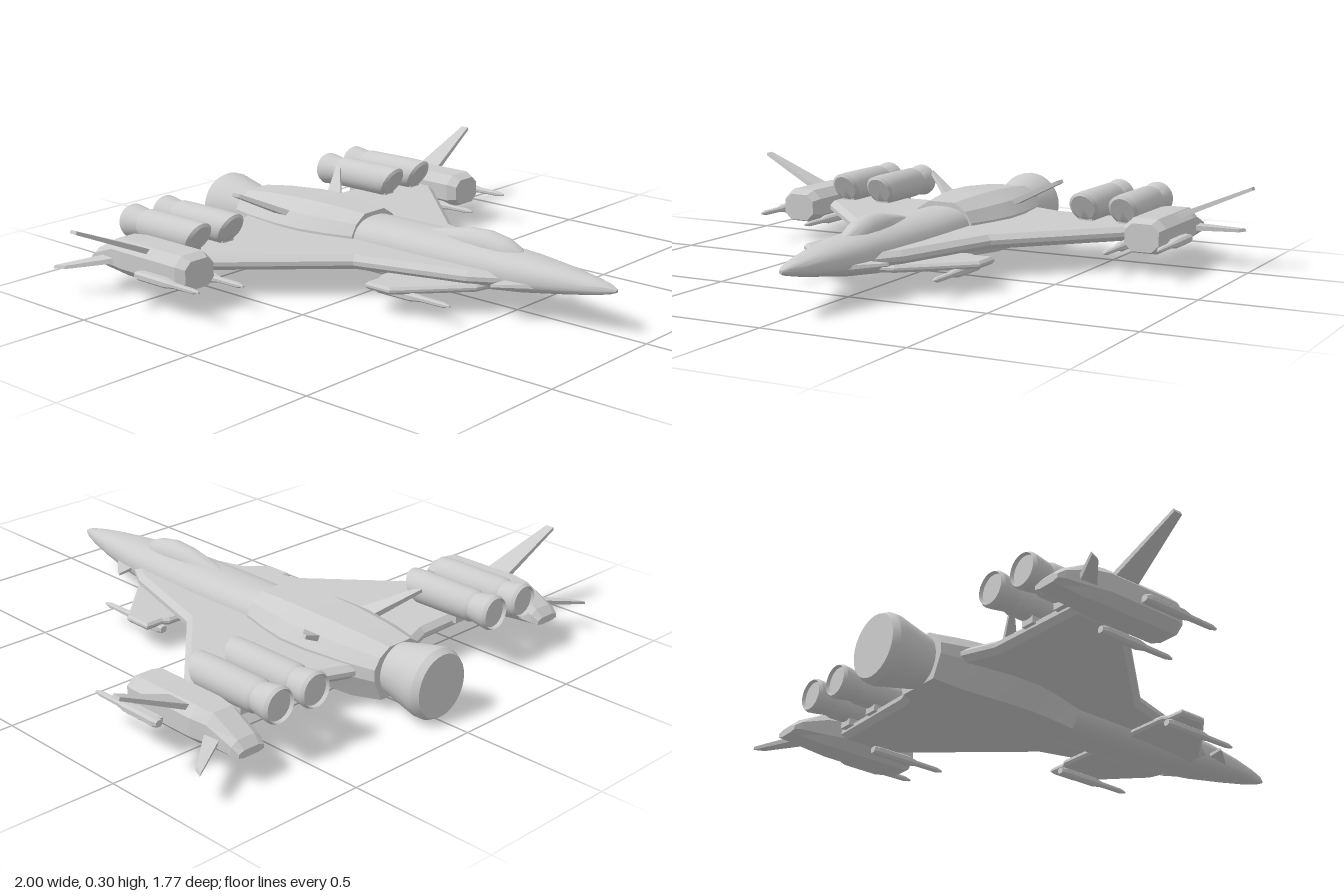
import * as THREE from 'three';
import { toCreasedNormals } from 'three/addons/utils/BufferGeometryUtils.js';
import { ConvexGeometry } from 'three/addons/geometries/ConvexGeometry.js';

const smooth = new THREE.MeshStandardMaterial({ color: 0xcccccc });
const flat = new THREE.MeshStandardMaterial({ color: 0xcccccc, flatShading: true });

function add(group, name, geometry, material = flat) {
  const mesh = new THREE.Mesh(geometry, material);
  mesh.name = name;
  group.add(mesh);
  return mesh;
}

// Unit cross-sections, counter-clockwise seen from the front
const oval = (n, power = 1) => Array.from({ length: n }, (_, i) => {
  const a = (i / n) * Math.PI * 2, c = Math.cos(a), s = Math.sin(a);
  return [Math.sign(c) * Math.abs(c) ** power, Math.sign(s) * Math.abs(s) ** power];
});
const octagon = (x, y) => [[1, -y], [1, y], [x, 1], [-x, 1], [-1, y], [-1, -y], [-x, -1], [x, -1]];

// Skin over sections [z, half width, bottom, waist, top], ordered from back to front
function loft(ring, sections, cx = 0, crease = 0.5) {
  const n = ring.length, pos = [], index = [];
  for (const [z, w, bottom, waist, top] of sections)
    for (const [u, v] of ring)
      pos.push(cx + u * w, waist + v * (v > 0 ? top - waist : waist - bottom), z);
  const last = (sections.length - 1) * n, back = sections.length * n;
  for (const s of [sections[0], sections[sections.length - 1]]) pos.push(cx, (s[2] + s[4]) / 2, s[0]);
  for (let j = 0; j < n; j++) {
    const k = (j + 1) % n;
    for (let i = 0; i < last; i += n) index.push(i + j, i + k, i + n + j, i + k, i + n + k, i + n + j);
    index.push(back, k, j, back + 1, last + j, last + k);
  }
  const geo = new THREE.BufferGeometry();
  geo.setAttribute('position', new THREE.Float32BufferAttribute(pos, 3));
  geo.setIndex(index);
  return toCreasedNormals(geo, crease);
}

// Bevelled horizontal plate from an (x, z) outline
function plate(outline, side, y0, y1, bevel) {
  const shape = new THREE.Shape(outline.map(([x, z]) => new THREE.Vector2(x * side, z)));
  const t = (y1 - y0) * 0.35;
  const geo = new THREE.ExtrudeGeometry(shape, {
    depth: y1 - y0 - 2 * t, bevelThickness: t, bevelSize: bevel, bevelOffset: -bevel, bevelSegments: 1,
  });
  return geo.rotateX(Math.PI / 2).translate(0, y1 - t, 0);
}

// Thin fin through four corners, thinner towards the tip (the last two)
function fin(corners, side, thick) {
  const pts = [];
  corners.forEach(([x, y, z], i) => {
    const t = thick * (i < 2 ? 0.5 : 0.3);
    for (const d of [-t, t]) pts.push(new THREE.Vector3(side * (x - d * 0.4), y + d, z));
  });
  return new ConvexGeometry(pts);
}

// Turned body along z from [radius, z] pairs
function turned(profile) {
  const pts = profile.map(([r, z]) => new THREE.Vector2(r, z));
  return new THREE.LatheGeometry(pts, 28).rotateX(Math.PI / 2);
}

// Engine with a slanted, chamfered intake face
function engine() {
  const geo = turned([[0, -0.745], [0.05, -0.745], [0.054, -0.757], [0.06, -0.745], [0.058, -0.725], [0.05, -0.675],
    [0.056, -0.66], [0.057, -0.44], [0.055, -0.415], [0.044, -0.405], [0, -0.405]]);
  const p = geo.attributes.position;
  for (let i = 0; i < p.count; i++)
    if (p.getZ(i) > -0.43) p.setZ(i, p.getZ(i) + p.getY(i) * 0.5);
  return toCreasedNormals(geo, 0.5);
}

// Slim weapon with a stepped, pointed front
function missile(x, y, z, length) {
  return loft(octagon(0.5, 0.5), [[0, 0.012, 0.011], [0.06, 0.018, 0.015], [0.5, 0.018, 0.015],
    [0.62, 0.011, 0.009], [0.92, 0.01, 0.008], [1, 0.004, 0.003]]
    .map(([t, w, h]) => [z + t * length, w, y - h, y, y + h]), x, 0.3);
}

export function createModel() {
  const model = new THREE.Group();
  model.name = 'spaceFighter';

  // Fuselage, rear engine housing, canopy and main nozzle
  add(model, 'fuselage', loft(oval(28, 0.85), [
    [-0.3, 0.11, 0.035, 0.13, 0.21], [0, 0.113, 0.045, 0.13, 0.213], [0.2, 0.113, 0.05, 0.13, 0.213],
    [0.4, 0.104, 0.062, 0.13, 0.21], [0.55, 0.09, 0.08, 0.135, 0.203], [0.7, 0.064, 0.105, 0.14, 0.19],
    [0.8, 0.04, 0.122, 0.145, 0.177], [0.86, 0.02, 0.135, 0.15, 0.166], [0.885, 0.006, 0.145, 0.15, 0.156],
  ]), smooth);
  add(model, 'engineHousing', loft(
    [[1, -0.15], [1, 0.3], [0.8, 0.7], [0.42, 1], [-0.42, 1], [-0.8, 0.7], [-1, 0.3], [-1, -0.15], [-0.7, -1], [0.7, -1]], [
      [-0.71, 0.115, 0.037, 0.125, 0.212], [-0.6, 0.145, 0.022, 0.125, 0.225], [-0.45, 0.167, 0.022, 0.125, 0.236],
      [-0.34, 0.168, 0.025, 0.125, 0.238], [-0.24, 0.148, 0.03, 0.125, 0.234], [-0.13, 0.118, 0.036, 0.13, 0.226],
    ], 0, 0.35), smooth);
  add(model, 'canopy', loft(oval(24), [
    [0.13, 0.018, 0.17, 0.195, 0.213], [0.2, 0.034, 0.17, 0.195, 0.23], [0.3, 0.045, 0.17, 0.195, 0.248],
    [0.38, 0.049, 0.17, 0.195, 0.252], [0.45, 0.044, 0.17, 0.19, 0.24], [0.5, 0.03, 0.17, 0.185, 0.219],
    [0.525, 0.008, 0.17, 0.185, 0.2],
  ], 0, 0.7), smooth);
  const nozzle = toCreasedNormals(turned([[0, -0.888], [0.107, -0.888], [0.119, -0.865], [0.119, -0.84],
    [0.09, -0.715], [0.085, -0.69], [0, -0.69]]), 0.4);
  add(model, 'mainNozzle', nozzle, smooth).position.y = 0.122;

  for (const side of [1, -1]) {
    const half = new THREE.Group();
    half.name = side > 0 ? 'leftSide' : 'rightSide';
    model.add(half);

    // Delta wing with its strake, canard and nose fin
    add(half, 'wing', plate([[0, 0.5], [0.09, 0.5], [0.15, 0.4], [0.265, 0.01], [0.63, -0.39], [0.63, -0.59],
      [0.25, -0.6], [0.12, -0.65], [0, -0.65]], side, 0.1, 0.15, 0.02));
    add(half, 'canard', plate([[0.05, 0.45], [0.13, 0.43], [0.34, 0.235], [0.34, 0.13], [0.27, 0.13],
      [0.25, 0.115], [0.05, 0.115]], side, 0.08, 0.105, 0.008));
    add(half, 'noseFin', fin([[0.06, 0.125, 0.63], [0.06, 0.125, 0.52], [0.155, 0.125, 0.505], [0.14, 0.125, 0.53]], side, 0.014));

    // Wing-tip pod with a sloping tail
    add(half, 'tipPod', loft(octagon(0.58, 0.5), [
      [-0.765, 0.05, 0.09, 0.1, 0.115], [-0.74, 0.058, 0.085, 0.11, 0.14], [-0.64, 0.065, 0.077, 0.13, 0.192],
      [-0.58, 0.077, 0.075, 0.135, 0.197], [-0.31, 0.077, 0.075, 0.135, 0.197], [-0.275, 0.062, 0.085, 0.135, 0.182],
    ], side * 0.695, 0.1), smooth);
    add(half, 'upperTipFin', fin([[0.73, 0.175, -0.455], [0.73, 0.175, -0.55], [1, 0.293, -0.543], [1, 0.293, -0.512]], side, 0.018));
    add(half, 'lowerTipFin', fin([[0.75, 0.122, -0.62], [0.75, 0.122, -0.685], [0.9, 0.104, -0.772], [0.885, 0.105, -0.735]], side, 0.018));
    add(half, 'tailFin', fin([[0.12, 0.185, -0.4], [0.12, 0.185, -0.475], [0.272, 0.265, -0.56], [0.262, 0.262, -0.535]], side, 0.02));

    // Twin engines resting on the wing
    for (const x of [0.42, 0.57]) {
      add(half, 'wingEngine', engine(), smooth).position.set(side * x, 0.2, 0);
      add(half, 'enginePylon', new THREE.BoxGeometry(0.05, 0.04, 0.18)).position.set(side * x, 0.145, -0.52);
    }

    // Weapons on the canard, under the wing and outside the pod
    for (const [name, x, y, z, length] of [['canardMissile', 0.275, 0.07, 0.12, 0.315],
      ['wingMissile', 0.6, 0.088, -0.47, 0.3], ['podMissile', 0.795, 0.115, -0.47, 0.3]])
      add(half, name, missile(side * x, y, z, length), smooth);
    add(half, 'podMissileMount', new THREE.BoxGeometry(0.05, 0.014, 0.12)).position.set(side * 0.775, 0.118, -0.4);
  }
  return model;
}
